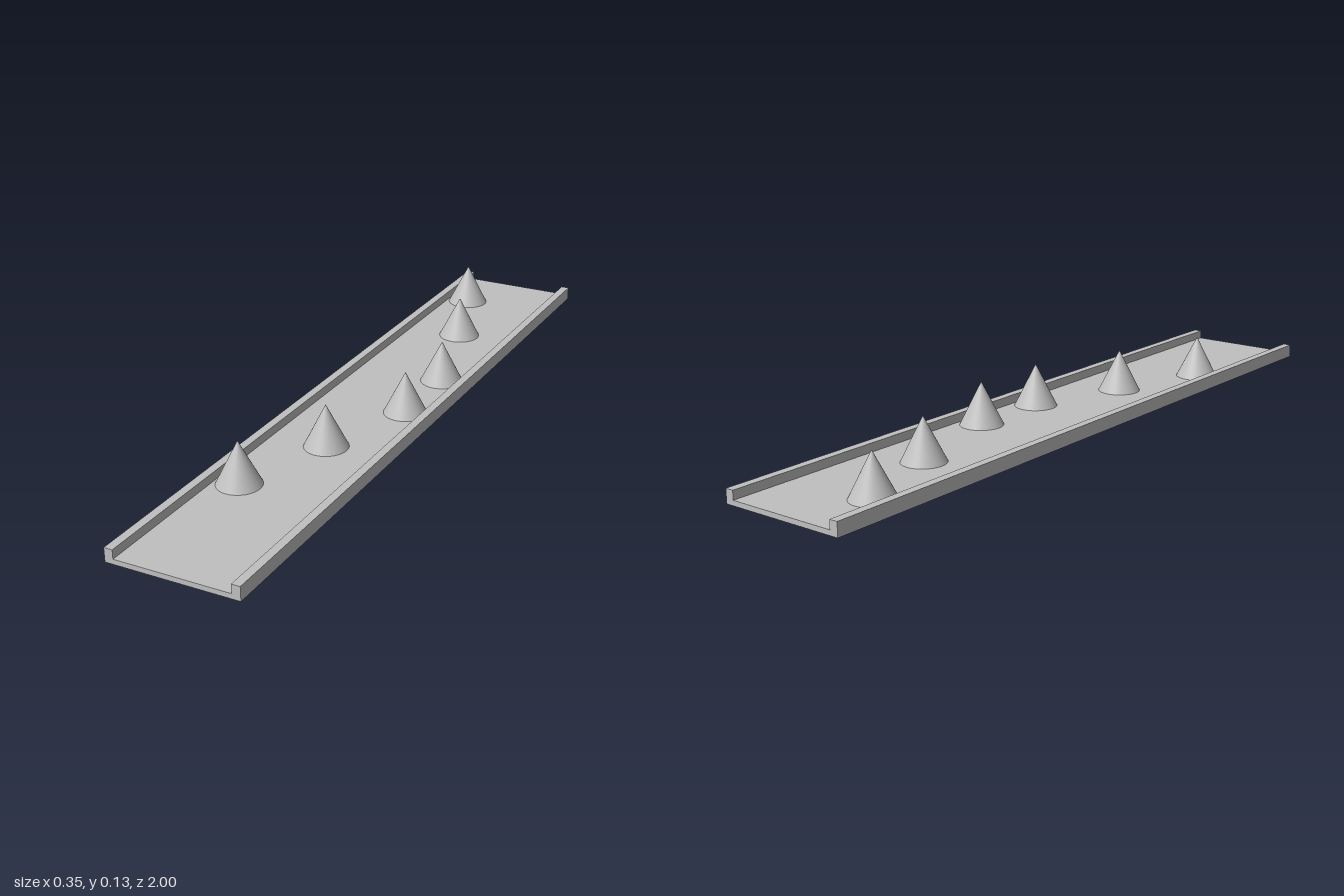
import * as THREE from 'three';

export function createModel() {
  const group = new THREE.Group();
  const grey = new THREE.MeshStandardMaterial({ color: 0xc0c0c0 });
  grey.name = 'lightGrey';

  const halfWidth = 0.177, railInner = 0.154, floorTop = 0.0135, railTop = 0.0375;

  // Channel-shaped track: floor with a raised rail on each side, extruded along z
  const profile = new THREE.Shape([
    [-halfWidth, 0], [halfWidth, 0], [halfWidth, railTop], [railInner, railTop],
    [railInner, floorTop], [-railInner, floorTop], [-railInner, railTop], [-halfWidth, railTop],
  ].map(([x, y]) => new THREE.Vector2(x, y)));
  const trackGeometry = new THREE.ExtrudeGeometry(profile, { depth: 2, bevelEnabled: false });
  trackGeometry.translate(0, 0, -1);
  const track = new THREE.Mesh(trackGeometry, grey);
  track.name = 'track';
  group.add(track);

  // Cone obstacles weaving across the floor
  const height = 0.1175;
  const coneGeometry = new THREE.ConeGeometry(0.059, height, 48);
  const spots = [
    [-0.091, -0.803], [0, -0.532], [0.092, -0.203],
    [0.092, 0.03], [0, 0.302], [-0.091, 0.575],
  ];
  spots.forEach(([x, z], i) => {
    const cone = new THREE.Mesh(coneGeometry, grey);
    cone.name = `cone${i + 1}`;
    cone.position.set(x, floorTop + height / 2, z);
    group.add(cone);
  });

  return group;
}
